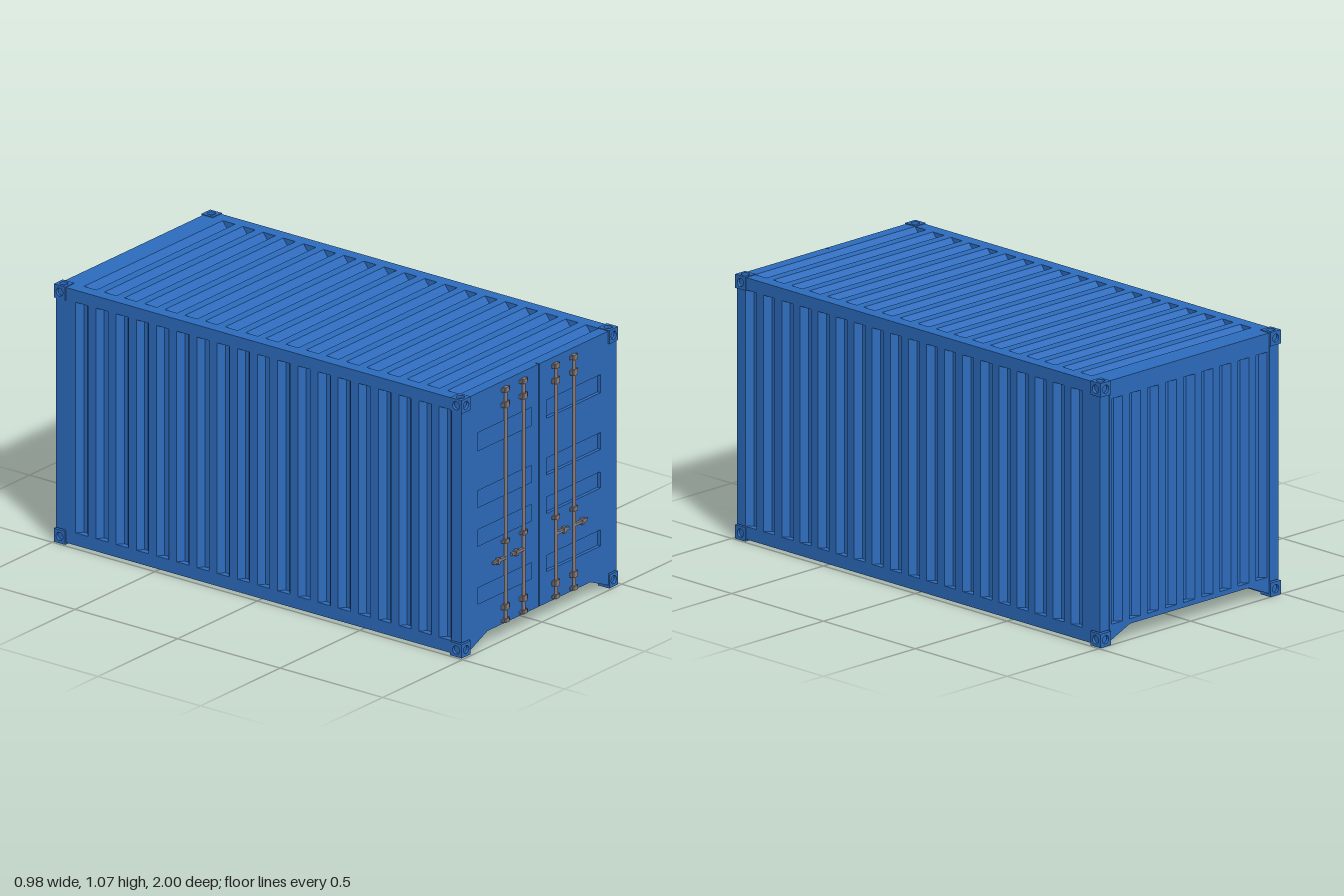
import * as THREE from 'three';

const blue = new THREE.MeshStandardMaterial({ color: 0x2d6cbe });
blue.name = 'container blue';
const steel = new THREE.MeshStandardMaterial({ color: 0x887d80 });
steel.name = 'lock steel';

const V = (x, y, z) => new THREE.Vector3(x, y, z);
const W = 0.487, TOP = 1.065, BACK = -0.992, FRONT = 0.985, INNER = 0.435;

export function createModel() {
  const model = new THREE.Group();
  model.name = 'shippingContainer';

  const add = (name, geometry, material = blue, parent = model) => {
    const mesh = new THREE.Mesh(geometry, material);
    mesh.name = name;
    parent.add(mesh);
    return mesh;
  };
  // Box given by its two opposite corners
  const box = (name, x0, x1, y0, y1, z0, z1, material, parent) => {
    const g = new THREE.BoxGeometry(Math.abs(x1 - x0), y1 - y0, z1 - z0);
    g.translate((x0 + x1) / 2, (y0 + y1) / 2, (z0 + z1) / 2);
    return add(name, g, material, parent);
  };
  const polygon = pts => new THREE.Shape(pts.map(p => new THREE.Vector2(...p)));
  const extrude = (shape, depth) =>
    new THREE.ExtrudeGeometry(shape, { depth, bevelEnabled: false, curveSegments: 6 });
  // Turns an extrusion so its local y points along "out" and its depth along "along"
  const orient = (geometry, out, along, origin) => {
    const m = new THREE.Matrix4().makeBasis(out.clone().cross(along), out, along);
    return geometry.applyMatrix4(m.setPosition(origin));
  };

  // Corrugated panel: flat outer face with trapezoid grooves
  const corrugated = (name, u0, u1, centres, out, along, origin, length, thick) => {
    const pts = [[u0, 0]];
    for (const c of [...centres].sort((a, b) => a - b)) {
      pts.push([c - 0.03, 0], [c - 0.008, -0.026], [c + 0.01, -0.026], [c + 0.03, 0]);
    }
    pts.push([u1, 0], [u1, -thick], [u0, -thick]);
    add(name, orient(extrude(polygon(pts.reverse()), length), out, along, origin));
  };
  const grooves = Array.from({ length: 19 }, (_, i) => 0.907 - 0.0985 * i);
  const flipped = grooves.map(z => -z);
  const backGrooves = Array.from({ length: 9 }, (_, i) => (i - 4) * 0.0985);
  const up = V(0, 1, 0);
  corrugated('rightWall', -0.97, -BACK, flipped, V(-1, 0, 0), up, V(-W, 0.06, 0), 0.955, 0.05);
  corrugated('leftWall', BACK, 0.97, grooves, V(1, 0, 0), up, V(W, 0.06, 0), 0.955, 0.05);
  corrugated('roof', -0.97, -BACK, flipped, up, V(1, 0, 0), V(-INNER, TOP, 0), 2 * INNER, 0.05);
  corrugated('backWall', -INNER, INNER, backGrooves, V(0, 0, -1), up, V(0, 0.08, BACK), 0.91, 0.05);

  // Frame rails, back beams and floor
  for (const s of [-1, 1]) {
    box('topRail', s * INNER, s * W, 1.015, TOP, -0.945, 0.936);
    box('bottomRail', s * INNER, s * W, 0.008, 0.06, -0.945, 0.936);
    const wedge = polygon([[s * 0.323, 0.06], [s * INNER, 0.012], [s * INNER, 0.06]]);
    add('floorSlope', extrude(wedge, FRONT - BACK).translate(0, 0, BACK));
  }
  box('backHeader', -INNER, INNER, 0.99, 1.015, BACK, -0.94);
  box('backSill', -INNER, INNER, 0.06, 0.08, BACK, -0.94);
  box('floor', -INNER, INNER, 0.06, 0.08, -0.94, 0.955);

  // Doors with four recessed panels each, and a gap between them
  box('doorBacking', -INNER, INNER, 0.06, 1.015, 0.95, 0.97);
  for (const s of [-1, 1]) {
    const door = polygon([[s * 0.002, 0.06], [s * W, 0.06], [s * W, 1.013],
      [s * 0.433, 1.013], [s * 0.433, TOP], [s * 0.002, TOP]]);
    for (const [y0, y1] of [[0.19, 0.257], [0.43, 0.498], [0.59, 0.66], [0.825, 0.9]]) {
      door.holes.push(new THREE.Path([[0.047, y0], [0.387, y0], [0.387, y1], [0.047, y1]]
        .map(([x, y]) => new THREE.Vector2(s * x, y))));
    }
    add(s > 0 ? 'leftDoor' : 'rightDoor', extrude(door, 0.015).translate(0, 0, 0.97));
  }

  // Corner castings: a core with a holed plate on each outer face
  const S = 0.056, D = 0.012;
  const holedPlate = () => {
    const h = S / 2;
    const plate = polygon([[-h, -h], [h, -h], [h, h], [-h, h]]);
    const hole = new THREE.Path();
    hole.absarc(0, 0, 0.017, 0, Math.PI * 2, true);
    plate.holes.push(hole);
    return extrude(plate, D);
  };
  for (const sx of [-1, 1]) for (const sy of [-1, 1]) for (const sz of [-1, 1]) {
    const casting = new THREE.Group();
    casting.name = 'cornerCasting';
    casting.position.set(sx * 0.463, sy > 0 ? 1.04 : S / 2, sz > 0 ? 0.962 : -0.972);
    model.add(casting);
    const core = new THREE.BoxGeometry(S - D, S - D, S - D);
    add('castingCore', core.translate(-sx * D / 2, -sy * D / 2, -sz * D / 2), blue, casting);
    const faces = [[V(sx, 0, 0), up], [V(0, sy, 0), V(0, 0, 1)], [V(0, 0, sz), up]];
    for (const [normal, side] of faces) {
      const origin = normal.clone().multiplyScalar(S / 2 - D);
      add('castingPlate', orient(holedPlate(), side, normal, origin), blue, casting);
    }
  }

  // Locking rods with brackets and handles
  const rods = [[-0.215, -0.296], [-0.102, -0.18], [0.1, 0.177], [0.213, 0.293]];
  for (const [x, end] of rods) {
    const lock = new THREE.Group();
    lock.name = 'lockingRod';
    model.add(lock);
    const rod = new THREE.CylinderGeometry(0.007, 0.007, 0.97, 8);
    add('rod', rod.translate(x, 0.555, 0.991), steel, lock);
    for (const [y, h] of [[0.074, 0.01], [0.13, 0.018], [0.402, 0.011], [0.968, 0.018], [1.03, 0.014]]) {
      box('bracketWing', x - 0.022, x + 0.022, y - h / 2, y + h / 2, 0.984, 0.993, steel, lock);
      box('bracketClamp', x - 0.012, x + 0.012, y - h / 2 - 0.003, y + h / 2 + 0.003, 0.984, 1, steel, lock);
    }
    box('handle', x, end, 0.328, 0.339, 0.986, 0.997, steel, lock);
    const grip = x + (end - x) * 0.63;
    box('handleCatch', grip - 0.007, grip + 0.007, 0.321, 0.346, 0.984, 1, steel, lock);
  }
  return model;
}
